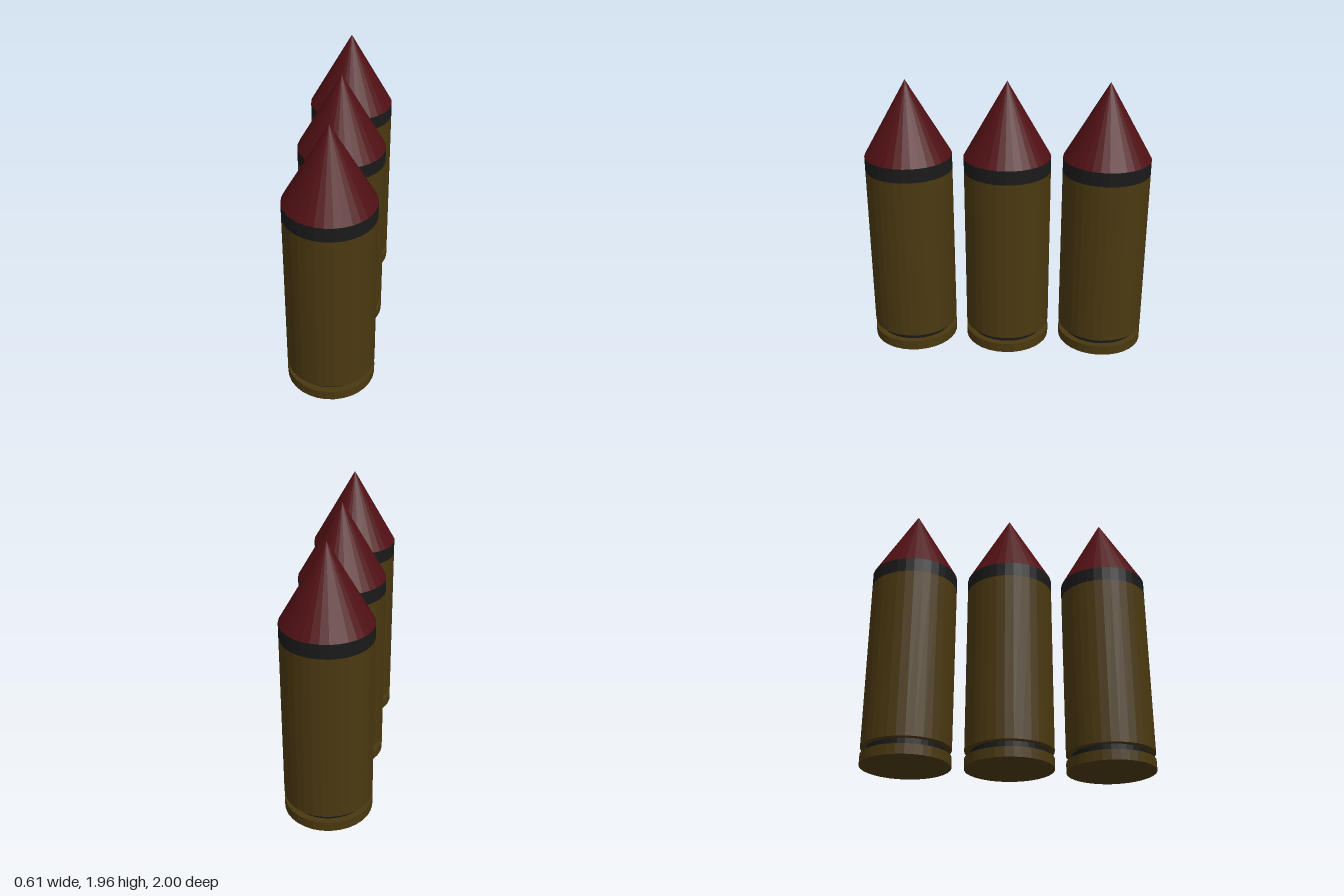
import * as THREE from 'three';

const SIDES = 32;
const RADIUS = 0.306;
const SPACING = 0.694;

const paint = (color) => new THREE.MeshStandardMaterial({ color, flatShading: true });

export function createModel() {
  const brass = paint(0x4a3810);
  const black = paint(0x1a1a1a);
  const red = paint(0x501014);

  // Stacked sections: name, bottom, top, bottom radius, top radius, material
  const sections = [
    ['rim', 0, 0.07, RADIUS, RADIUS, brass],
    ['extractorGroove', 0.07, 0.12, 0.262, 0.262, black],
    ['case', 0.12, 1.32, RADIUS, RADIUS, brass],
    ['neckBand', 1.32, 1.42, RADIUS, RADIUS, black],
    ['tip', 1.42, 1.955, RADIUS, 0, red],
  ];

  // One cartridge standing on its rim
  function createCartridge() {
    const cartridge = new THREE.Group();
    for (const [name, y0, y1, r0, r1, material] of sections) {
      const geometry = r1 > 0
        ? new THREE.CylinderGeometry(r1, r0, y1 - y0, SIDES)
        : new THREE.ConeGeometry(r0, y1 - y0, SIDES);
      const mesh = new THREE.Mesh(geometry, material);
      mesh.name = name;
      mesh.position.y = (y0 + y1) / 2;
      cartridge.add(mesh);
    }
    return cartridge;
  }

  // Row of three, front to back
  const model = new THREE.Group();
  model.name = 'cartridges';
  ['frontCartridge', 'middleCartridge', 'backCartridge'].forEach((name, i) => {
    const cartridge = createCartridge();
    cartridge.name = name;
    cartridge.position.z = (1 - i) * SPACING;
    model.add(cartridge);
  });
  return model;
}
